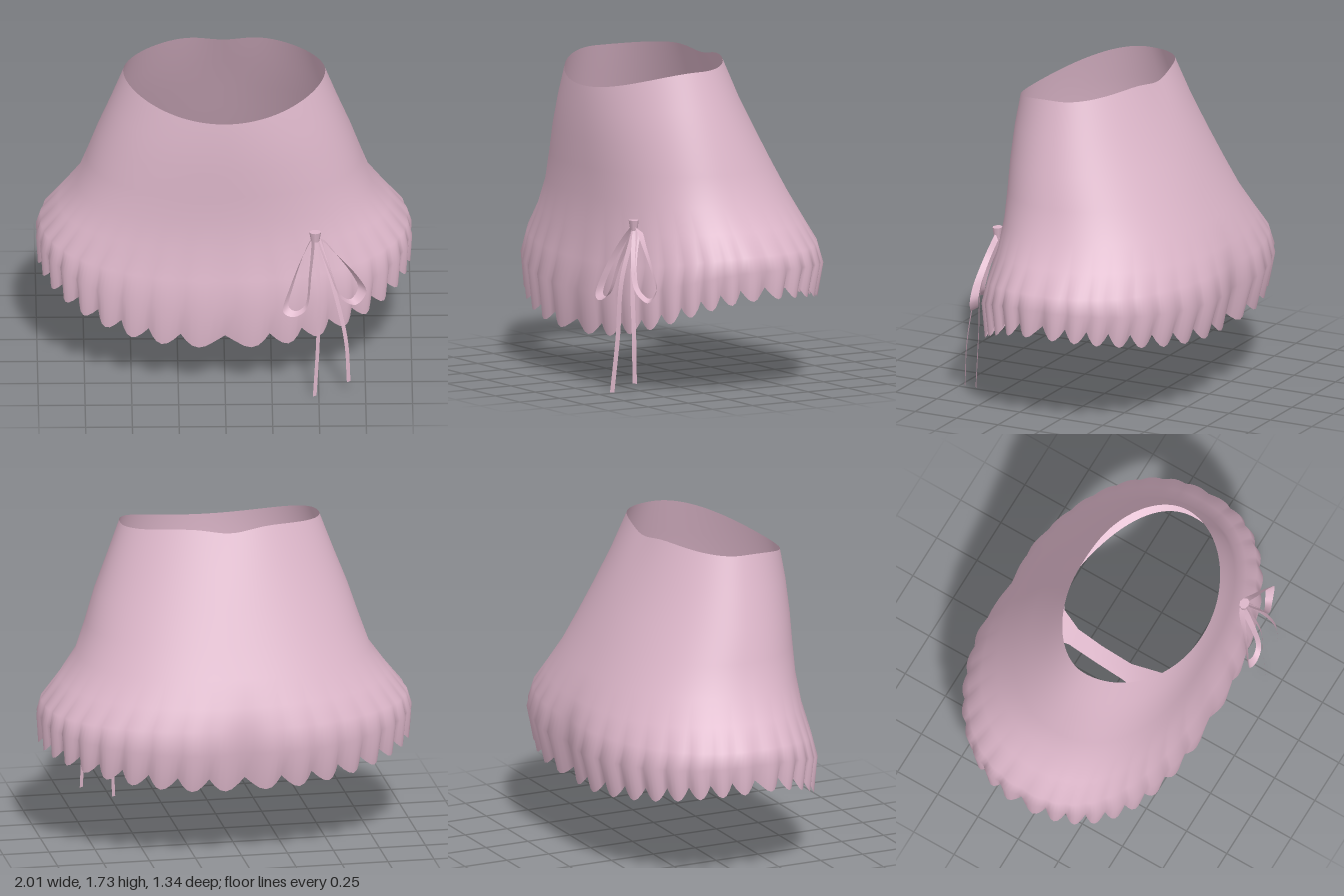
import * as THREE from 'three';

const TEETH = 36, COLS = TEETH * 6;

// Skin a grid of points (rows of equal length); closed rows wrap round
function loft(rows, closed, material, name) {
  const n = rows[0].length, index = [];
  for (let r = 0; r < rows.length - 1; r++) {
    for (let i = 0; i < (closed ? n : n - 1); i++) {
      const j = (i + 1) % n;
      const a = r * n + i, b = r * n + j, c = a + n, d = b + n;
      index.push(a, c, b, b, c, d);
    }
  }
  const geo = new THREE.BufferGeometry();
  geo.setAttribute('position', new THREE.Float32BufferAttribute(rows.flat(2), 3));
  geo.setIndex(index);
  geo.computeVertexNormals();
  const mesh = new THREE.Mesh(geo, material);
  mesh.name = name;
  return mesh;
}

// One loop round the body: half width, front/back/side z, front/side/back height,
// squareness front and back, ripple, scallop depth, dip and tuck at centre back
function ring({ w, zf, zb, zc, y, nf = 2, nb = 2, ripple = 0, tooth = 0, dip = 0, tuck = 0 }) {
  const pts = [];
  for (let i = 0; i < COLS; i++) {
    const t = (i / COLS) * Math.PI * 2, s = Math.sin(t), c = Math.cos(t);
    const front = c >= 0, e = 2 / (front ? nf : nb);
    const wave = Math.abs(Math.sin(t * TEETH / 2));
    const k = 1 + ripple * (wave - 0.6);
    const x = Math.sign(s) * Math.abs(s) ** e * w * k;
    const back = front ? 0 : Math.exp(-((x / 0.15) ** 2));
    const z = zc + ((front ? zf : zb) - zc) * Math.abs(c) ** e * k + tuck * back;
    const h = y[1] + ((front ? y[0] : y[2]) - y[1]) * c * c;
    pts.push([x, h - tooth * wave - dip * back, z]);
  }
  return pts;
}

const curve = (pts, closed, n) =>
  new THREE.CatmullRomCurve3(pts.map(p => new THREE.Vector3(...p)), closed).getPoints(n).map(p => p.toArray());

export function createModel() {
  const group = new THREE.Group();
  const pink = new THREE.MeshStandardMaterial({ color: 0xdcb6c9, side: THREE.DoubleSide });
  pink.name = 'dusty pink cloth';

  // Skirt from waist to scalloped hem
  group.add(loft([
    { w: 0.54, zf: 0.55, zb: -0.19, zc: 0.14, y: [1.59, 1.70, 1.745], dip: 0.035 },
    { w: 0.61, zf: 0.56, zb: -0.28, zc: 0.12, y: [1.46, 1.51, 1.53], nf: 2.1 },
    { w: 0.68, zf: 0.56, zb: -0.38, zc: 0.10, y: [1.30, 1.33, 1.33], nf: 2.2 },
    { w: 0.735, zf: 0.555, zb: -0.46, zc: 0.07, y: [1.15, 1.16, 1.16], nf: 2.3, nb: 2.1 },
    { w: 0.79, zf: 0.55, zb: -0.54, zc: 0.05, y: [1.00, 1.00, 1.00], nf: 2.4, nb: 2.2 },
    { w: 0.885, zf: 0.56, zb: -0.61, zc: 0.03, y: [0.84, 0.87, 0.86], nf: 2.4, nb: 2.2 },
    { w: 0.98, zf: 0.585, zb: -0.66, zc: 0.01, y: [0.66, 0.75, 0.75], nf: 2.5, nb: 2.2, ripple: 0.01, tuck: 0.02 },
    { w: 1.0, zf: 0.62, zb: -0.69, zc: 0, y: [0.50, 0.67, 0.62], nf: 2.5, nb: 2.2, ripple: 0.02, tuck: 0.04 },
    { w: 0.985, zf: 0.595, zb: -0.64, zc: 0, y: [0.33, 0.58, 0.47], nf: 2.5, nb: 2.2, ripple: 0.035, tooth: 0.065, tuck: 0.03 },
  ].map(ring), true, pink, 'skirt'));

  // Lining band between the skirt and the leg openings
  group.add(loft([
    { w: 0.965, zf: 0.59, zb: -0.63, zc: 0, y: [0.54, 0.74, 0.68], nf: 2.5, nb: 2.2 },
    { w: 0.92, zf: 0.53, zb: -0.54, zc: 0, y: [0.50, 0.68, 0.60], nf: 2.4, nb: 2.2 },
    { w: 0.85, zf: 0.44, zb: -0.43, zc: 0, y: [0.485, 0.65, 0.54], nf: 2.3, nb: 2.2 },
  ].map(ring), true, pink, 'lining'));

  // Strap between the legs: z, y, half width
  const strap = [
    [0.47, 0.49, 0.42], [0.43, 0.48, 0.24], [0.36, 0.45, 0.14], [0.25, 0.40, 0.08], [0.08, 0.37, 0.05],
    [-0.10, 0.40, 0.048], [-0.25, 0.45, 0.05], [-0.36, 0.50, 0.09], [-0.45, 0.54, 0.22],
  ];
  group.add(loft(strap.map(([z, y, w]) => [[w, y, z], [0, y, z], [-w, y, z]]), false, pink, 'crotchStrap'));

  // Ribbon bow on the front left
  const bow = new THREE.Group();
  bow.name = 'bow';
  const loops = {
    innerLoop: [[0.475, 0.89, 0.53], [0.42, 0.81, 0.57], [0.345, 0.64, 0.63], [0.31, 0.51, 0.66],
      [0.36, 0.485, 0.67], [0.43, 0.52, 0.66], [0.46, 0.70, 0.61]],
    outerLoop: [[0.495, 0.89, 0.53], [0.59, 0.80, 0.54], [0.72, 0.65, 0.55], [0.755, 0.57, 0.55],
      [0.70, 0.505, 0.57], [0.62, 0.56, 0.60], [0.56, 0.70, 0.59]],
  };
  for (const [name, pts] of Object.entries(loops)) {
    const outer = curve(pts, true, 40);
    const cx = (pts[0][0] + pts[4][0]) / 2, cy = 0.66;
    const inner = outer.map(([x, y, z]) => [cx + (x - cx) * 0.72, cy + (y - cy) * 0.88, z - 0.03]);
    bow.add(loft([outer, inner], false, pink, name));
  }
  const tails = {
    innerTail: [[0.475, 0.88, 0.53], [0.49, 0.60, 0.62], [0.485, 0.30, 0.64], [0.468, 0.0, 0.665]],
    outerTail: [[0.49, 0.88, 0.53], [0.57, 0.62, 0.60], [0.635, 0.32, 0.63], [0.65, 0.07, 0.635]],
  };
  for (const [name, pts] of Object.entries(tails)) {
    const left = curve(pts, false, 20);
    bow.add(loft([left, left.map(([x, y, z]) => [x + 0.02, y, z - 0.015])], false, pink, name));
  }
  const knot = new THREE.Mesh(new THREE.CylinderGeometry(0.032, 0.022, 0.055, 8), pink);
  knot.name = 'knot';
  knot.scale.z = 0.8;
  knot.position.set(0.482, 0.895, 0.525);
  bow.add(knot);
  group.add(bow);

  return group;
}
